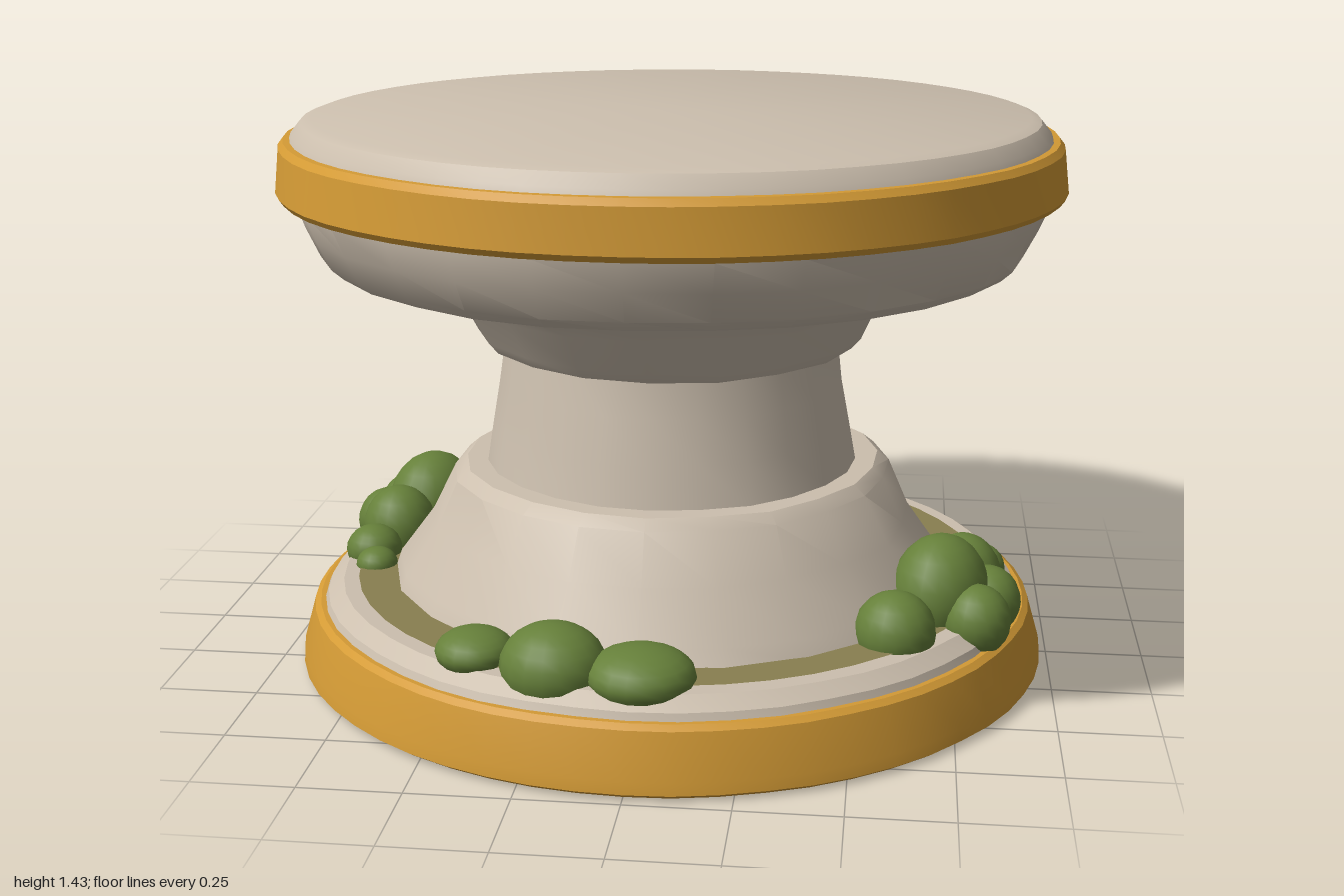
import * as THREE from 'three';
import { toCreasedNormals } from 'three/addons/utils/BufferGeometryUtils.js';

const material = (name, color) => {
  const m = new THREE.MeshStandardMaterial({ color });
  m.name = name;
  return m;
};

export function createModel() {
  const stone = material('paleStone', 0xccbfae);
  const gold = material('goldTrim', 0xd39a35);
  const leaf = material('leafGreen', 0x66803a);
  const moss = material('mossyOlive', 0x887f50);
  const model = new THREE.Group();
  model.name = 'pedestal';

  // Solid turned from [radius, y] pairs; rough pushes the wall in and out like carved rock
  function turned(name, mat, profile, segments, rough = 0) {
    const pts = profile.map(([r, y]) => new THREE.Vector2(r, y));
    const geo = new THREE.LatheGeometry(pts, segments);
    const p = geo.attributes.position;
    for (let i = 0; i < p.count; i++) {
      const x = p.getX(i), y = p.getY(i), z = p.getZ(i);
      const n = Math.sin(9 * x + 11 * y + 1) * Math.sin(8 * z - 13 * y) + 0.5 * Math.sin(17 * x - 14 * z + 5 * y);
      const s = 1 + rough * n;
      p.setXYZ(i, x * s, y, z * s);
    }
    const mesh = new THREE.Mesh(toCreasedNormals(geo, 0.5), mat);
    mesh.name = name;
    model.add(mesh);
  }

  // Flat mossy band on a ledge, facing up or down
  function band(name, inner, outer, y, up) {
    const geo = new THREE.RingGeometry(inner, outer, 48);
    geo.rotateX(up ? -Math.PI / 2 : Math.PI / 2);
    const mesh = new THREE.Mesh(geo, moss);
    mesh.name = name;
    mesh.position.y = y;
    model.add(mesh);
  }

  // Base
  turned('baseTrim', gold, [[0, 0.005], [0.96, 0.005], [0.982, 0.02], [0.978, 0.05], [0.945, 0.16], [0.93, 0.172], [0, 0.172]], 56, 0.002);
  turned('baseStep', stone, [[0.92, 0.165], [0.91, 0.19], [0.87, 0.218], [0, 0.218]], 48, 0.003);
  band('baseMoss', 0.66, 0.83, 0.221, true);

  // Column
  turned('columnFoot', stone, [[0.74, 0.21], [0.715, 0.26], [0.63, 0.38], [0.57, 0.5], [0.54, 0.525], [0, 0.53]], 22, 0.013);
  turned('columnShaft', stone, [[0.485, 0.52], [0.465, 0.63], [0.445, 0.74], [0.43, 0.85]], 24, 0.008);

  // Flared capital and upper tier
  turned('capital', stone, [[0, 0.842], [0.475, 0.842], [0.5, 0.87], [0.545, 0.96], [0.6, 1.02], [0.645, 1.065]], 18, 0.014);
  band('capitalMoss', 0.42, 0.46, 0.839, false);
  turned('upperTier', stone, [[0, 1.065], [0.865, 1.065], [0.895, 1.09], [0.925, 1.16], [0.955, 1.235], [0.955, 1.25]], 30, 0.007);
  band('upperTierMoss', 0.6, 0.862, 1.061, false);

  // Table top
  turned('topTrim', gold, [[0.94, 1.24], [0.985, 1.24], [0.996, 1.255], [0.985, 1.36], [0.972, 1.376], [0.93, 1.378]], 56, 0.002);
  turned('topSlab', stone, [[0.96, 1.365], [0.95, 1.39], [0.925, 1.42], [0.9, 1.429], [0, 1.432]], 56, 0.002);

  // Bushes: [x, y, z, radius, height radius]; each clump repeats on the opposite side
  const clumps = {
    largeBush: [
      [0.6, 0.24, 0.48, 0.1, 0.1], [0.71, 0.27, 0.27, 0.14, 0.145], [0.77, 0.25, 0.11, 0.1, 0.115],
      [0.8, 0.23, 0.36, 0.085, 0.09], [0.81, 0.23, -0.02, 0.075, 0.065], [0.78, 0.22, -0.11, 0.055, 0.045],
      [0.83, 0.23, 0.22, 0.085, 0.09],
    ],
    smallBush: [
      [-0.39, 0.235, 0.7, 0.095, 0.055], [-0.19, 0.23, 0.76, 0.13, 0.105], [0.02, 0.23, 0.79, 0.13, 0.07],
    ],
  };
  const sphere = new THREE.SphereGeometry(1, 18, 12);
  for (const [name, puffs] of Object.entries(clumps)) {
    for (let side = 0; side < 2; side++) {
      const bush = new THREE.Group();
      bush.name = name;
      bush.rotation.y = side * Math.PI;
      for (const [x, y, z, r, h] of puffs) {
        const puff = new THREE.Mesh(sphere, leaf);
        puff.name = 'bushPuff';
        puff.position.set(x, y, z);
        puff.rotation.y = Math.atan2(x, z);
        puff.scale.set(r, h, Math.min(r, 0.12));
        bush.add(puff);
      }
      model.add(bush);
    }
  }
  return model;
}
